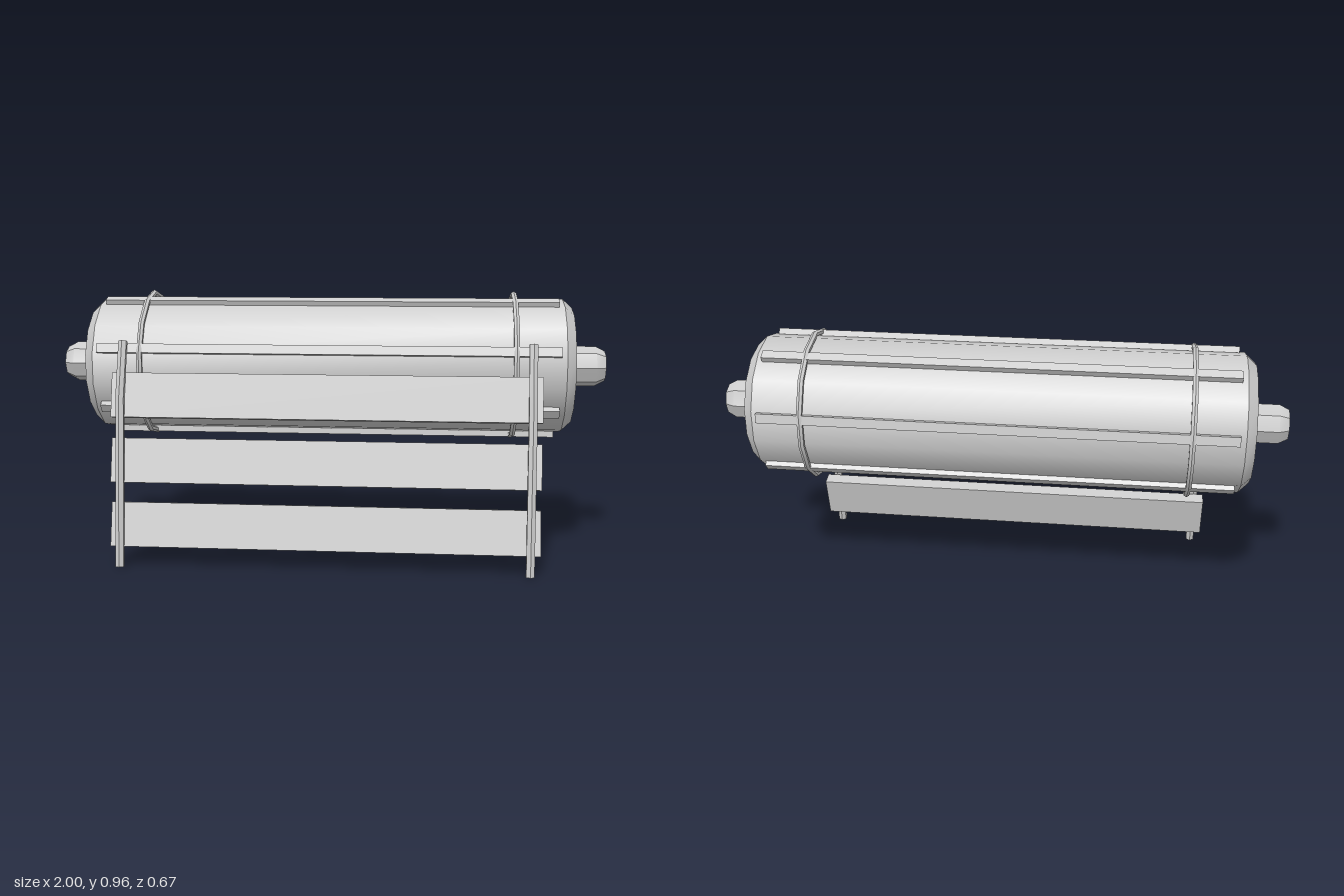
import * as THREE from 'three';
import { toCreasedNormals } from 'three/addons/utils/BufferGeometryUtils.js';

const AXIS_Y = 0.69, AXIS_Z = -0.07;

// Solid of revolution about the x axis with a vertex at the bottom
function turned(points, sides) {
  const profile = points.map(([r, x]) => new THREE.Vector2(r, x));
  const geo = new THREE.LatheGeometry(profile, sides, Math.PI / 2);
  return toCreasedNormals(geo.rotateZ(-Math.PI / 2), 0.5);
}

// Six-sided bar swept along a path of [y, z] points, mitred at the bend
function bentBar(path, radius) {
  const n = path.length - 1;
  const geo = new THREE.CylinderGeometry(radius, radius, n, 6, n);
  const pos = geo.attributes.position;
  for (let i = 0; i < pos.count; i++) {
    const k = Math.round(pos.getY(i) + n / 2);
    const a = path[Math.max(k - 1, 0)], b = path[Math.min(k + 1, n)];
    const t = new THREE.Vector2(b[0] - a[0], b[1] - a[1]).normalize();
    const d = pos.getZ(i);
    pos.setXYZ(i, pos.getX(i), path[k][0] - t.y * d, path[k][1] + t.x * d);
  }
  return toCreasedNormals(geo, 0.5);
}

export function createModel() {
  const model = new THREE.Group();
  model.name = 'rollerWithSlattedApron';
  const grey = new THREE.MeshStandardMaterial({ color: 0xcccccc });
  grey.name = 'light grey';

  const add = (parent, name, geo) => {
    const mesh = new THREE.Mesh(geo, grey);
    mesh.name = name;
    parent.add(mesh);
    return mesh;
  };

  // Roller assembly, centred on its own axis
  const roller = new THREE.Group();
  roller.name = 'roller';
  roller.position.set(0, AXIS_Y, AXIS_Z);
  model.add(roller);

  // Drum with chamfered ends
  add(roller, 'drum', turned([
    [0, -0.875], [0.212, -0.875], [0.245, -0.84],
    [0.245, 0.84], [0.212, 0.875], [0, 0.875],
  ], 14));

  // Octagonal axle with tapered tips
  add(roller, 'axle', turned([
    [0, -1], [0.055, -1], [0.073, -0.965],
    [0.073, 0.965], [0.055, 1], [0, 1],
  ], 8));

  // Hoops around the drum
  for (const side of [-1, 1]) {
    const hoop = new THREE.TorusGeometry(0.26, 0.011, 6, 14);
    hoop.rotateZ(Math.PI / 2).rotateY(Math.PI / 2);
    add(roller, side > 0 ? 'leftHoop' : 'rightHoop', toCreasedNormals(hoop, 0.5))
      .position.x = side * 0.665;
  }

  // Seven battens spaced round the drum
  for (let i = 0; i < 7; i++) {
    const angle = THREE.MathUtils.degToRad(17.2) + (i * Math.PI * 2) / 7;
    const batten = add(roller, 'batten' + (i + 1), new THREE.BoxGeometry(1.64, 0.033, 0.022));
    batten.position.set(0, Math.sin(angle) * 0.251, Math.cos(angle) * 0.251);
    batten.rotation.x = -angle;
  }

  // Bent uprights
  const path = [[0.003, 0.317], [0.6, 0.25], [0.793, 0.189]];
  for (const side of [-1, 1]) {
    add(model, side > 0 ? 'leftUpright' : 'rightUpright', bentBar(path, 0.0165))
      .position.x = side * 0.72;
  }

  // Tilted boards behind the uprights
  [[0.602, 0.212], [0.372, 0.238], [0.145, 0.264]].forEach(([y, z], i) => {
    const board = add(model, 'board' + (i + 1), new THREE.BoxGeometry(1.51, 0.158, 0.049));
    board.position.set(0, y, z);
    board.rotation.x = -0.235;
  });

  return model;
}
